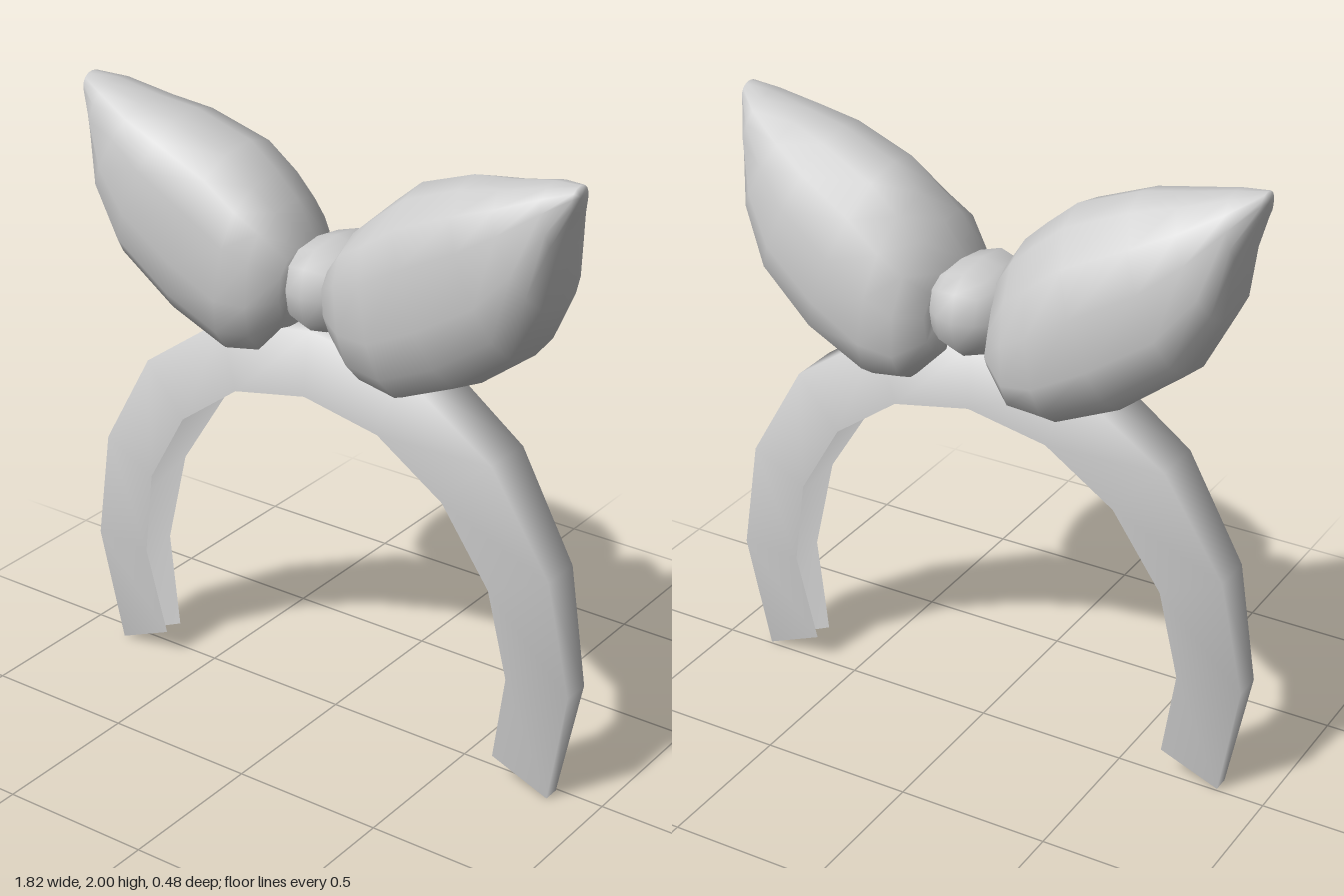
import * as THREE from 'three';

const material = new THREE.MeshStandardMaterial({ color: 0xcccccc, side: THREE.DoubleSide });

// Skin a list of rings (arrays of [x, y, z]); rings may be closed or open strips.
function loft(rings, closed) {
  const n = rings[0].length;
  const index = [];
  for (let i = 0; i < rings.length - 1; i++) {
    for (let j = 0; j < (closed ? n : n - 1); j++) {
      const k = (j + 1) % n;
      const a = i * n + j, b = i * n + k, c = a + n, d = b + n;
      index.push(a, b, c, b, d, c);
    }
  }
  const geometry = new THREE.BufferGeometry();
  geometry.setAttribute('position', new THREE.Float32BufferAttribute(rings.flat(2), 3));
  geometry.setIndex(index);
  geometry.computeVertexNormals();
  return geometry;
}

function addMesh(parent, name, geometry) {
  const mesh = new THREE.Mesh(geometry, material);
  mesh.name = name;
  parent.add(mesh);
}

// A ring of points from a function of the cosine and sine of each angle.
function ring(sides, direction, point) {
  return Array.from({ length: sides }, (_, j) => {
    const a = direction * j * 2 * Math.PI / sides;
    return point(Math.cos(a), Math.sin(a));
  });
}

// Signed power: below 1 it squares off a round section.
const bulge = (v, power) => Math.sign(v) * Math.abs(v) ** power;

// Tapering open channel: narrower on the outside, flared and hollow towards the head.
function createBandGeometry() {
  // outer x, outer y, inner x, inner y from the top down one side
  const half = [
    [0, 1.37, 0, 1.165], [0.34, 1.315, 0.265, 1.11], [0.645, 1.10, 0.49, 0.945],
    [0.84, 0.77, 0.645, 0.69], [0.91, 0.39, 0.70, 0.39], [0.84, 0, 0.645, 0.085],
  ];
  const mirrored = half.slice(1).reverse().map(([a, b, c, d]) => [-a, b, -c, d]);
  const sections = [...mirrored, ...half].map(([ox, oy, ix, iy]) => {
    const z = 0.035, inner = 0.028 + 0.086 * iy, outer = inner * 0.78;
    return [[ix, iy, z - inner], [ox, oy, z - outer], [ox, oy, z + outer], [ix, iy, z + inner]];
  });
  return loft(sections, false);
}

// Puffed bow loop, swept from the knot to its pointed tip.
function createLoopGeometry(side) {
  // upper x, y, lower x, y, back z, front z, tilt (how far the back hangs lower)
  const stations = [
    [0.10, 1.48, 0.10, 1.48, 0.02, 0.02, 0],
    [0.07, 1.56, 0.08, 1.42, -0.09, 0.12, 0.2],
    [0.07, 1.61, 0.09, 1.33, -0.17, 0.18, 0.25],
    [0.14, 1.72, 0.19, 1.225, -0.23, 0.235, 0.22],
    [0.215, 1.79, 0.32, 1.205, -0.247, 0.245, 0.15],
    [0.31, 1.87, 0.53, 1.295, -0.235, 0.245, 0.13],
    [0.50, 1.94, 0.72, 1.44, -0.185, 0.235, 0.13],
    [0.63, 1.96, 0.81, 1.62, -0.125, 0.21, 0.13],
    [0.78, 1.99, 0.835, 1.80, -0.055, 0.16, 0.1],
    [0.87, 2.00, 0.87, 1.92, 0.025, 0.115, 0],
    [0.873, 1.965, 0.873, 1.965, 0.07, 0.07, 0],
  ];
  const rings = stations.map(([ux, uy, lx, ly, back, front, tilt], i) =>
    ring(14, side, (c, s) => {
      // fuller below than above, fullest at the lower front
      const power = c >= 0 ? 0.95 : s < 0 ? 0.82 : 0.68;
      const v = bulge(s, power) / 2;
      const u = bulge(c, power) / 2 + tilt * v * Math.abs(s);
      // the upper back of the base curls away from the knot
      const curl = v < 0 ? 0.4 * v * v * (u + 0.5) * Math.max(0, 1 - i / 5) : 0;
      return [
        side * ((ux + lx) / 2 + (ux - lx) * u + curl),
        Math.min(2, (uy + ly) / 2 + (uy - ly) * u),
        (back + front) / 2 + (front - back) * v,
      ];
    }));
  return loft(rings, true);
}

// Barrel-shaped knot across the middle; its ends sit inside the loops.
function createKnotGeometry() {
  const profile = [[-0.125, 0.55], [-0.105, 0.72], [-0.065, 0.88], [0, 1], [0.065, 0.88], [0.105, 0.72], [0.125, 0.55]];
  return loft(profile.map(([x, scale]) => ring(12, 1, (c, s) => [
    x,
    1.487 + 0.147 * scale * bulge(c, 0.72),
    -0.005 + 0.185 * scale * bulge(s, 0.72),
  ])), true);
}

export function createModel() {
  const model = new THREE.Group();
  model.name = 'bowHeadband';
  addMesh(model, 'headband', createBandGeometry());

  // Bow: two mirrored loops and a knot
  const bow = new THREE.Group();
  bow.name = 'bow';
  addMesh(bow, 'leftLoop', createLoopGeometry(1));
  addMesh(bow, 'rightLoop', createLoopGeometry(-1));
  addMesh(bow, 'knot', createKnotGeometry());
  model.add(bow);
  return model;
}
